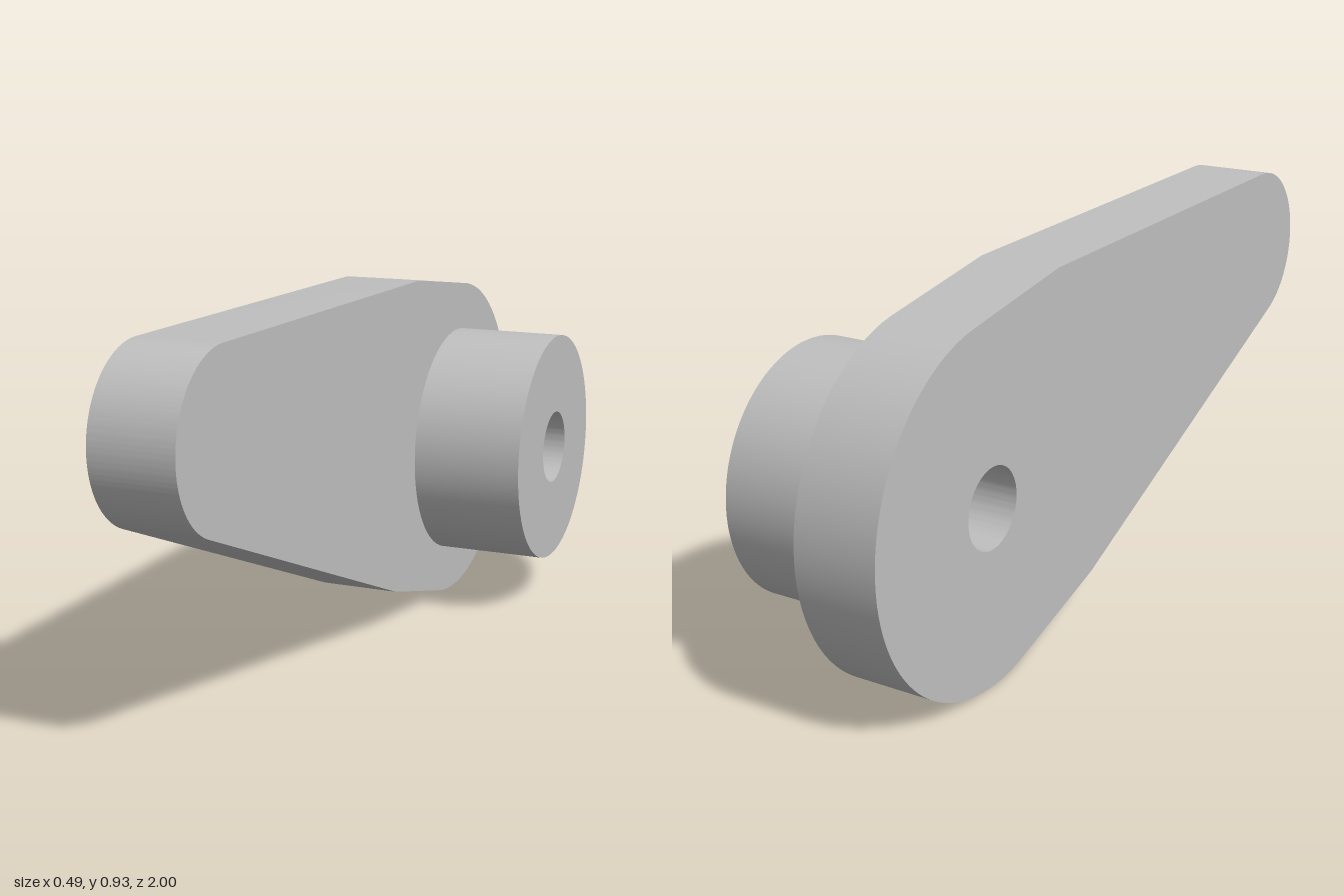
import * as THREE from 'three';
import { toCreasedNormals } from 'three/addons/utils/BufferGeometryUtils.js';

const PIVOT = { u: 0.568, y: 0.432 }; // axis of boss and bore, u = -z
const rad = THREE.MathUtils.degToRad;

// Cuts the shared bore, then extrudes the profile along x from x0 to x1
function extrudeAlongX(name, shape, x0, x1, material) {
  shape.holes.push(new THREE.Path().absarc(PIVOT.u, PIVOT.y, 0.097, 0, Math.PI * 2, true));
  let geometry = new THREE.ExtrudeGeometry(shape, {
    depth: x1 - x0, bevelEnabled: false, curveSegments: 48,
  });
  geometry.rotateY(Math.PI / 2);
  geometry.translate(x0, 0, 0);
  geometry = toCreasedNormals(geometry, rad(9));
  const mesh = new THREE.Mesh(geometry, material);
  mesh.name = name;
  return mesh;
}

export function createModel() {
  const model = new THREE.Group();
  model.name = 'leverArm';
  const metal = new THREE.MeshStandardMaterial({ color: 0xbfbfbf });
  metal.name = 'light grey metal';

  // Tapered arm: large rounded end, small rounded end, kinked straight edges
  const arm = new THREE.Shape();
  arm.absarc(PIVOT.u, PIVOT.y, 0.432, rad(-106), rad(81.3), false);
  arm.lineTo(0.29, 0.912);
  arm.absarc(-0.793, 0.722, 0.207, rad(89), rad(246.7), false);
  arm.lineTo(0.13, 0.11);
  arm.closePath();
  model.add(extrudeAlongX('armPlate', arm, -0.247, -0.042, metal));

  // Round boss around the bore
  const boss = new THREE.Shape();
  boss.absarc(PIVOT.u, PIVOT.y, 0.307, 0, Math.PI * 2, false);
  model.add(extrudeAlongX('boss', boss, -0.042, 0.247, metal));

  return model;
}
